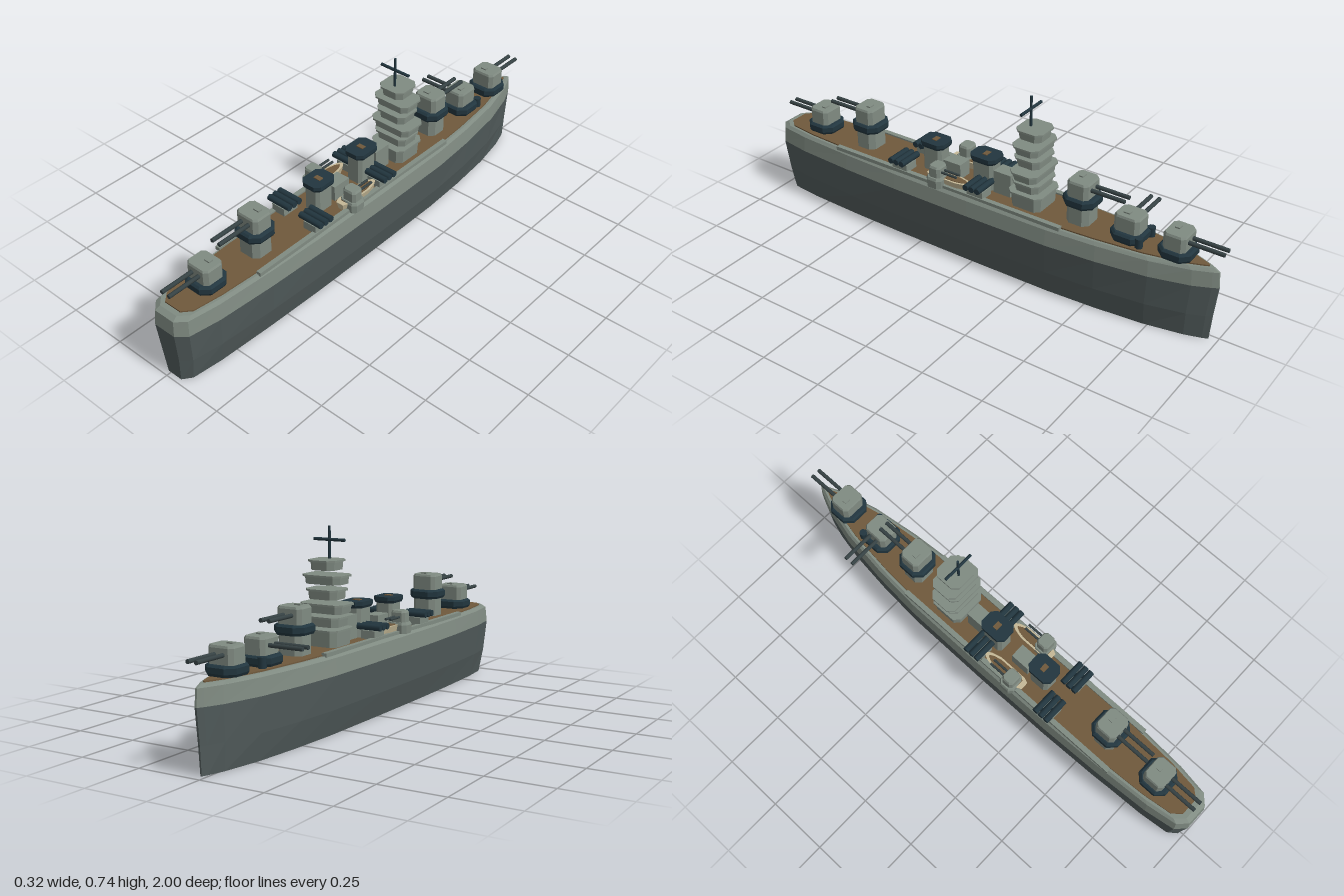
import * as THREE from 'three';

const CX = 0.02; // ship centreline

export function createModel() {
  const mat = (name, color) => {
    const m = new THREE.MeshStandardMaterial({ color });
    m.name = name;
    return m;
  };
  const grey = mat('light grey', 0x808b82);
  const hullDark = mat('dark hull grey', 0x515b5b);
  const wood = mat('deck wood', 0x70593c);
  const navy = mat('navy', 0x22363f);
  const gunmetal = mat('gunmetal', 0x364244);
  const cream = mat('cream', 0xc4b896);

  const ship = new THREE.Group();
  ship.name = 'warship';
  ship.position.x = CX;

  // Stacks a mirrored half outline [x, z] through levels [y, scaleX, scaleZ]; flat faces and caps
  function loft(half, levels) {
    const ring = [...half, ...half.map(([x, z]) => [-x, z]).reverse()];
    const n = ring.length, pos = [], idx = [];
    for (const [y, sx = 1, sz = sx] of levels) for (const [x, z] of ring) pos.push(x * sx, y, z * sz);
    for (let l = 0; l < levels.length - 1; l++) {
      for (let i = 0; i < n; i++) {
        const a = l * n + i, b = l * n + (i + 1) % n;
        idx.push(a, b, b + n, a, b + n, a + n);
      }
    }
    const t = (levels.length - 1) * n;
    for (let i = 0; i < half.length - 1; i++) {
      const a = i, b = i + 1, c = n - 2 - i, d = n - 1 - i;
      idx.push(t + a, t + b, t + c, t + a, t + c, t + d, a, c, b, a, d, c);
    }
    const g = new THREE.BufferGeometry();
    g.setAttribute('position', new THREE.Float32BufferAttribute(pos, 3));
    g.setIndex(idx);
    const flat = g.toNonIndexed();
    flat.computeVertexNormals();
    return flat;
  }
  const octagon = (w, d, c) => [[w - c, d], [w, d - c], [w, c - d], [w - c, -d]];

  function add(parent, name, geometry, material, x = 0, y = 0, z = 0) {
    const mesh = new THREE.Mesh(geometry, material);
    mesh.name = name;
    mesh.position.set(x, y, z);
    parent.add(mesh);
    return mesh;
  }
  const box = (p, name, m, w, h, d, x, y, z) => add(p, name, new THREE.BoxGeometry(w, h, d), m, x, y, z);
  function rod(p, name, m, r, len, axis, x, y, z) {
    const g = new THREE.CylinderGeometry(r, r, len, 8);
    if (axis === 'x') g.rotateZ(Math.PI / 2);
    if (axis === 'z') g.rotateX(Math.PI / 2);
    return add(p, name, g, m, x, y, z);
  }
  function group(name, x, y, z) {
    const g = new THREE.Group();
    g.name = name;
    g.position.set(x, y, z);
    ship.add(g);
    return g;
  }

  // Hull: blunt end at +z, pointed bow at -z
  const plan = [
    [0.047, 1], [0.085, 0.965], [0.105, 0.84], [0.12, 0.6], [0.128, 0.35], [0.13, 0],
    [0.127, -0.35], [0.112, -0.55], [0.085, -0.75], [0.045, -0.9], [0.016, -0.965], [0.004, -0.986],
  ];
  add(ship, 'lowerHull', loft(plan, [[0, 0.68, 0.98], [0.1, 0.885, 0.987], [0.228, 1, 1]]), hullDark);
  add(ship, 'upperHull', loft(plan, [[0.228, 1, 1], [0.29, 0.94, 0.995], [0.302, 0.86, 0.975]]), grey);
  add(ship, 'deck', loft(plan, [[0.3, 0.78, 0.955], [0.307, 0.78, 0.955]]), wood);
  for (const s of [-1, 1]) box(ship, 'deckEdgeStrip', grey, 0.02, 0.015, 1.05, s * 0.102, 0.306, 0.125);

  // Twin gun turrets, barrels along local +z
  function turret(z, angle, raised, length) {
    const y = raised ? 0.38 : 0.307;
    const t = group('gunTurret', 0, y, z);
    t.rotation.y = angle;
    if (raised) add(t, 'barbette', loft(octagon(0.05, 0.047, 0.02), [[-0.075], [0.005]]), grey);
    add(t, 'turretRing', loft(octagon(0.064, 0.064, 0.03), [[0, 0.92], [0.01, 1], [0.03, 1], [0.037, 0.88]]), navy);
    add(t, 'turretHouse', loft(octagon(0.051, 0.044, 0.014), [[0.034], [0.092], [0.1, 0.92]]), grey);
    box(t, 'turretHatch', grey, 0.025, 0.006, 0.018, 0.01, 0.102, -0.01);
    for (const s of [-1, 1]) rod(t, 'gunBarrel', gunmetal, 0.008, length - 0.03, 'z', s * 0.017, 0.07, (length + 0.03) / 2);
  }
  turret(0.8, 0, false, 0.18);
  turret(0.56, 0, true, 0.185);
  turret(-0.43, Math.PI, true, 0.18);
  turret(-0.63, -Math.PI / 2, false, 0.18);
  turret(-0.82, Math.PI, false, 0.18);

  // Small posts beside the sideways turret
  for (const s of [-1, 1]) rod(ship, 'deckPost', navy, 0.015, 0.04, 'y', s * 0.046, 0.325, -0.69);

  // Bridge tower: stacked decks, each with a wider lip on top
  const tower = group('bridgeTower', 0, 0, -0.22);
  const tiers = [
    [0.305, 0.37, 0.072, 0.066], [0.378, 0.415, 0.07, 0.052], [0.427, 0.462, 0.085, 0.052],
    [0.477, 0.514, 0.062, 0.05], [0.532, 0.566, 0.076, 0.05], [0.583, 0.62, 0.051, 0.05],
  ];
  for (const [y0, y1, w, d] of tiers) {
    add(tower, 'towerDeck', loft(octagon(w, d, 0.02), [[y0, 0.96], [y1 - 0.006, 1]]), grey);
    add(tower, 'towerLip', loft(octagon(w + 0.007, d + 0.007, 0.022), [[y1 - 0.007], [y1]]), grey);
  }
  rod(tower, 'mast', gunmetal, 0.005, 0.16, 'y', 0, 0.66, 0.018).material = navy;
  rod(tower, 'mastCrossbar', navy, 0.006, 0.132, 'x', 0, 0.69, 0.018);

  // Funnels with dark caps
  function funnel(z, top, depth) {
    const f = group('funnel', 0, 0, z);
    add(f, 'funnelBody', loft(octagon(0.036, depth - 0.012, 0.012), [[0.305], [top - 0.018]]), grey);
    add(f, 'funnelCap', loft(octagon(0.046, depth, 0.02), [[top - 0.025, 0.9], [top - 0.015], [top]]), navy);
    box(f, 'funnelVent', wood, 0.03, 0.004, 0.02, 0, top + 0.001, 0);
  }
  funnel(-0.008, 0.443, 0.058);
  funnel(0.23, 0.43, 0.055);
  box(ship, 'forwardDeckhouse', grey, 0.06, 0.095, 0.075, 0, 0.352, -0.098);
  box(ship, 'midDeckhouse', grey, 0.06, 0.065, 0.08, 0, 0.337, 0.135);

  for (const s of [-1, 1]) {
    // Triple tube launchers lying across the deck
    for (const z of [-0.026, 0.33]) {
      const rack = group('tubeLauncher', s * 0.078, 0, z);
      box(rack, 'launcherBase', grey, 0.06, 0.034, 0.07, 0, 0.322, 0);
      for (const k of [-1, 0, 1]) rod(rack, 'launchTube', navy, 0.0125, 0.104, 'x', 0, 0.352, k * 0.026);
    }

    // Ship's boat
    const boat = group('boat', s * 0.08, 0, 0.105);
    const boatPlan = [[0.016, 0.1], [0.025, 0.08], [0.026, -0.04], [0.016, -0.08], [0.003, -0.1]];
    add(boat, 'boatHull', loft(boatPlan, [[0.307, 0.7, 0.92], [0.338]]), cream);
    add(boat, 'boatInside', loft(boatPlan, [[0.337, 0.7, 0.8], [0.34, 0.7, 0.8]]), wood);

    // Secondary gun mount
    const mount = group('secondaryGun', s * 0.097, 0, 0.152);
    add(mount, 'mountBase', loft(octagon(0.04, 0.034, 0.014), [[0.302, 0.95], [0.335], [0.345, 0.9]]), grey);
    add(mount, 'mountHouse', loft(octagon(0.03, 0.026, 0.01), [[0.343], [0.382], [0.39, 0.85]]), grey);
    for (const k of [-1, 1]) rod(mount, 'secondaryBarrel', gunmetal, 0.005, 0.075, 'z', k * 0.01, 0.366, -0.058);
  }

  const root = new THREE.Group();
  root.name = 'model';
  root.add(ship);
  return root;
}
